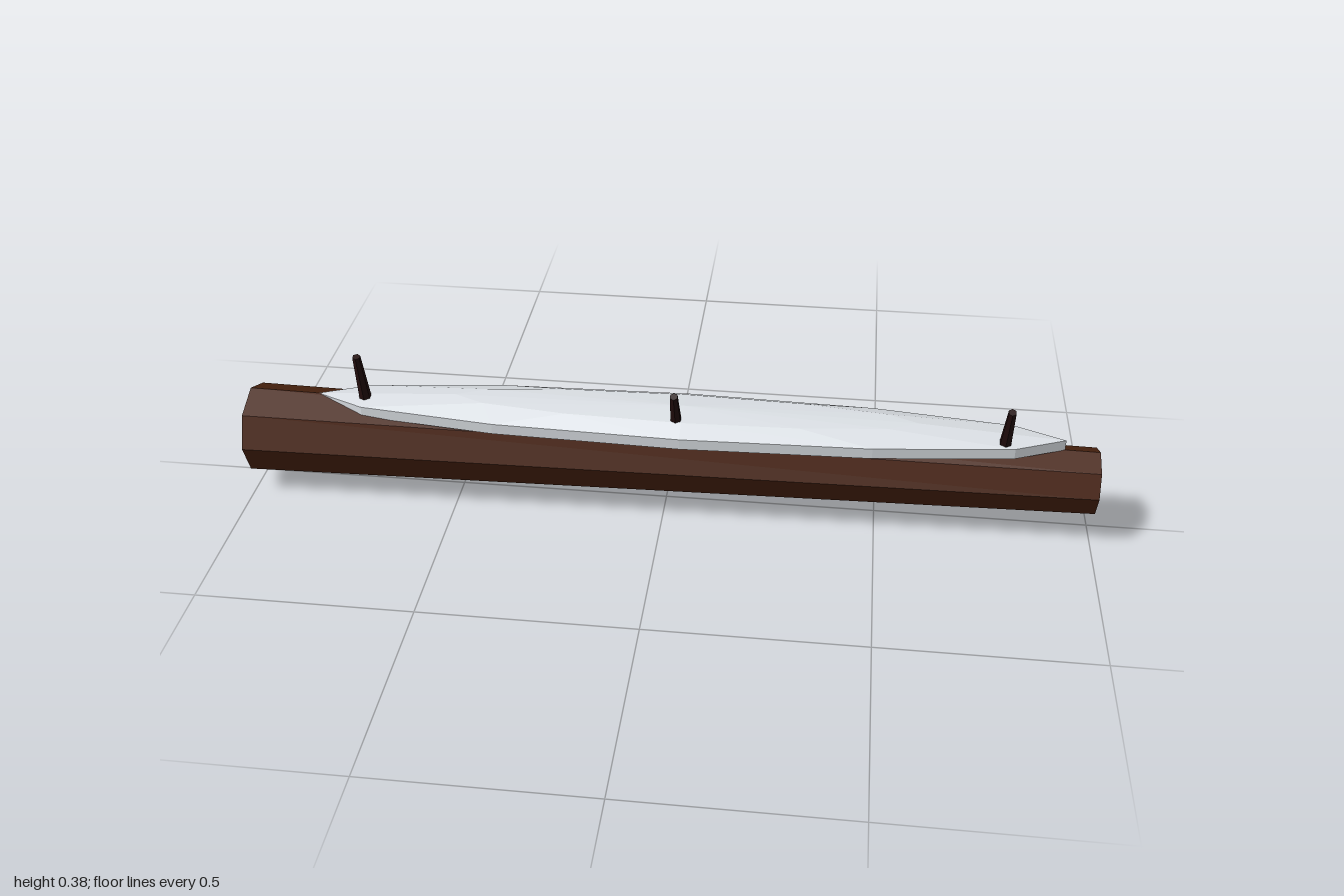
import * as THREE from 'three';

export function createModel() {
  const group = new THREE.Group();
  const material = (name, color) => {
    const m = new THREE.MeshStandardMaterial({ color });
    m.name = name;
    m.flatShading = true;
    return m;
  };
  const bark = material('bark', 0x4a230f);
  const cutWood = material('cutWood', 0x9a6a3d);
  const snowWhite = material('snow', 0xe6ebf0);
  const twigBrown = material('twigBrown', 0x260f0f);

  const add = (name, geometry, mat) => {
    const mesh = new THREE.Mesh(geometry, mat);
    mesh.name = name;
    group.add(mesh);
    return mesh;
  };

  // Tapered eight-sided log lying along x, with pale cut ends
  const log = add('log', new THREE.CylinderGeometry(0.078, 0.107, 2, 8), [bark, cutWood, cutWood]);
  log.rotation.z = -Math.PI / 2;
  log.position.set(0, 0.145, 0.021);

  // Long flattened cap of snow on top
  const snow = add('snowCap', new THREE.SphereGeometry(1, 12, 5), snowWhite);
  snow.scale.set(0.922, 0.042, 0.106);
  snow.position.set(0.043, 0.236, 0.02);

  // Broken twigs, each from a root inside the log to its tip: x, [y, z], [y, z]
  const twigs = [
    [-0.715, [0.2, 0.018], [0.381, 0.061]],
    [0.03, [0.2, 0.034], [0.36, 0.115]],
    [0.78, [0.2, 0.03], [0.366, 0.102]],
    [-0.34, [0.1, -0.02], [0.006, -0.061]],
    [0.41, [0.135, -0.036], [0.047, -0.12]],
  ];
  const up = new THREE.Vector3(0, 1, 0);
  for (const [x, [y0, z0], [y1, z1]] of twigs) {
    const root = new THREE.Vector3(x, y0, z0);
    const tip = new THREE.Vector3(x, y1, z1);
    const axis = tip.clone().sub(root);
    const twig = add('twig', new THREE.CylinderGeometry(0.0095, 0.0165, axis.length(), 6), twigBrown);
    twig.position.copy(root).add(tip).multiplyScalar(0.5);
    twig.quaternion.setFromUnitVectors(up, axis.normalize());
  }

  return group;
}
